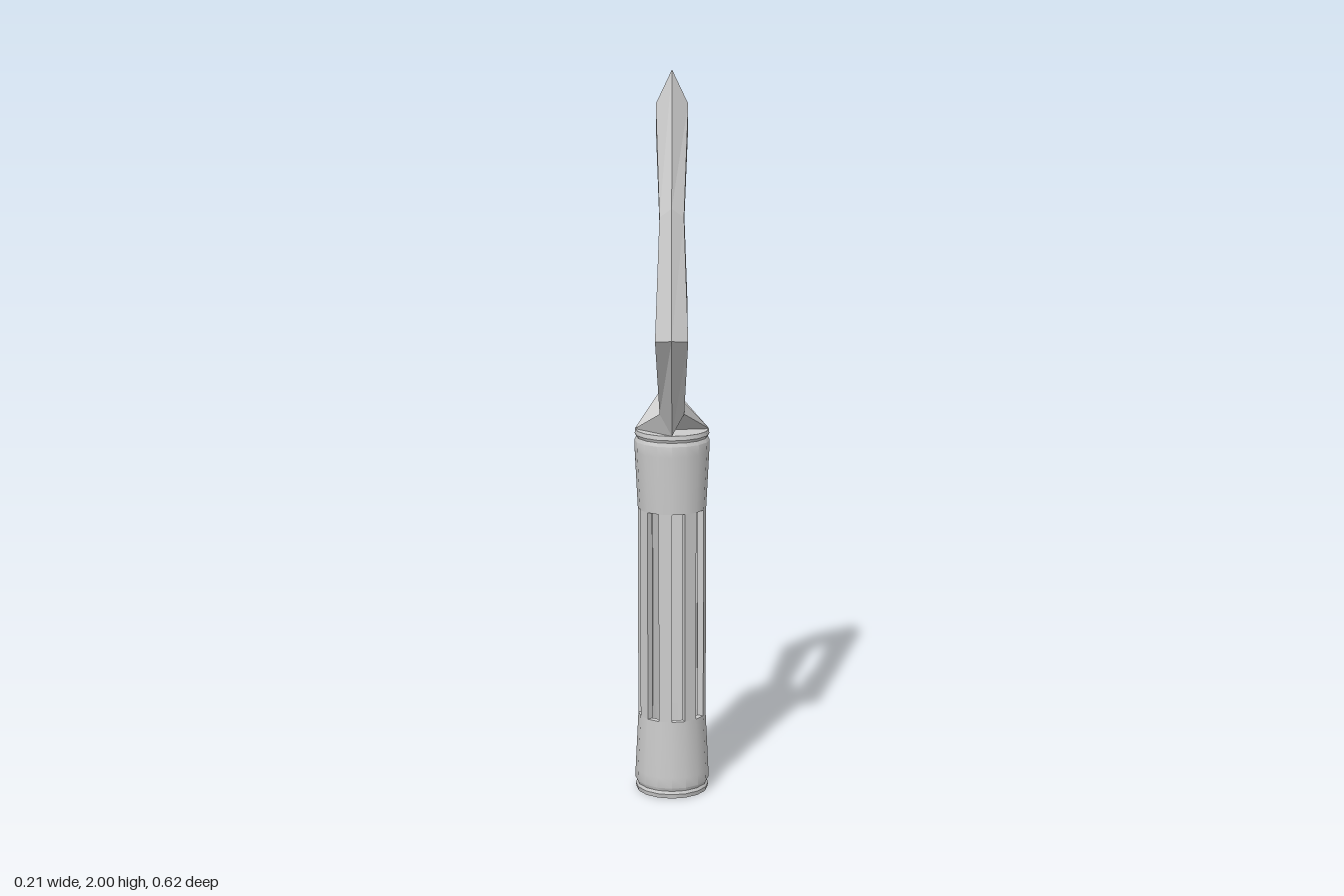
import * as THREE from 'three';
import { toCreasedNormals } from 'three/addons/utils/BufferGeometryUtils.js';

const SIDES = 16;
const GRIP_TOP = 1.03;

// Hollow collar with a rim and groove at its closed end, tapering to the bars
const COLLAR = [
  [0, 0], [0.1, 0], [0.102, 0.012], [0.098, 0.02], [0.103, 0.03], [0.102, 0.06],
  [0.094, 0.22], [0.076, 0.22], [0.076, 0.04], [0, 0.04],
];

function collar(points) {
  const profile = points.map(([r, y]) => new THREE.Vector2(r, y));
  return toCreasedNormals(new THREE.LatheGeometry(profile, SIDES), 0.5);
}

// One facet of the grip wall, extruded upwards
function gripBar(startAngle) {
  const inner = 0.076, outer = 0.094;
  const end = startAngle + (2 * Math.PI) / SIDES;
  const at = (r, a) => new THREE.Vector2(r * Math.sin(a), -r * Math.cos(a));
  const shape = new THREE.Shape([
    at(inner, startAngle), at(outer, startAngle), at(outer, end), at(inner, end),
  ]);
  const geometry = new THREE.ExtrudeGeometry(shape, { depth: 0.6, bevelEnabled: false });
  return geometry.rotateX(-Math.PI / 2).translate(0, 0.215, 0);
}

// Six-sided frame section: outer ridge, two flanks each side, inner ridge
// Each point is [z, y]; xs is the half width at the outer and inner flank
const STATIONS = [
  { outer: [0, 2], flank: [0, 1.91], lip: [0, 1.85], ridge: [0, 1.825], xs: [0.043, 0.043] },
  { outer: [0.2, 1.655], flank: [0.185, 1.63], lip: [0.143, 1.595], ridge: [0.127, 1.585], xs: [0.032, 0.032] },
  { outer: [0.31, 1.325], flank: [0.285, 1.32], lip: [0.233, 1.32], ridge: [0.21, 1.32], xs: [0.043, 0.043] },
  { outer: [0.1, 1.03], flank: [0.095, 1.09], lip: [0.082, 1.12], ridge: [0.072, 1.133], xs: [0.033, 0.033] },
  { outer: [0, 1.02], flank: [0, 1.03], lip: [0, 1.05], ridge: [0, 1.07], xs: [0.102, 0.033] },
];

function bladeFrame() {
  const section = ({ outer, flank, lip, ridge, xs }, sign) => [
    [0, outer], [xs[0], flank], [xs[1], lip], [0, ridge], [-xs[1], lip], [-xs[0], flank],
  ].map(([x, [z, y]]) => [x, y, z * sign]);

  // Down the front half, then back up the mirrored half
  const loop = [
    ...STATIONS.map((s) => section(s, 1)),
    ...STATIONS.slice(1, -1).reverse().map((s) => section(s, -1)),
  ];
  const index = [];
  const n = loop.length;
  for (let i = 0; i < n; i++) {
    for (let j = 0; j < 6; j++) {
      const k = (j + 1) % 6, next = (i + 1) % n;
      const a = i * 6 + j, b = i * 6 + k, c = next * 6 + k, d = next * 6 + j;
      index.push(a, d, b, b, d, c);
    }
  }
  const geometry = new THREE.BufferGeometry();
  geometry.setAttribute('position', new THREE.Float32BufferAttribute(loop.flat(2), 3));
  geometry.setIndex(index);
  geometry.computeVertexNormals();
  return geometry;
}

export function createModel() {
  const model = new THREE.Group();
  model.name = 'openBladeWithHandle';
  const smooth = new THREE.MeshStandardMaterial({ color: 0xcccccc });
  const flat = new THREE.MeshStandardMaterial({ color: 0xcccccc, flatShading: true });

  const add = (name, geometry, material, parent = model) => {
    const mesh = new THREE.Mesh(geometry, material);
    mesh.name = name;
    parent.add(mesh);
  };

  // Handle ends
  add('lowerCollar', collar(COLLAR), smooth);
  add('upperCollar', collar(COLLAR.map(([r, y]) => [r, GRIP_TOP - y]).reverse()), smooth);

  // Slotted grip: every other facet is a bar
  const grip = new THREE.Group();
  grip.name = 'slottedGrip';
  model.add(grip);
  for (let i = 0; i < SIDES; i += 2) {
    add('gripBar', gripBar(((i - 1) * 2 * Math.PI) / SIDES), flat, grip);
  }

  // Open leaf-shaped blade
  add('bladeFrame', bladeFrame(), flat);
  return model;
}
